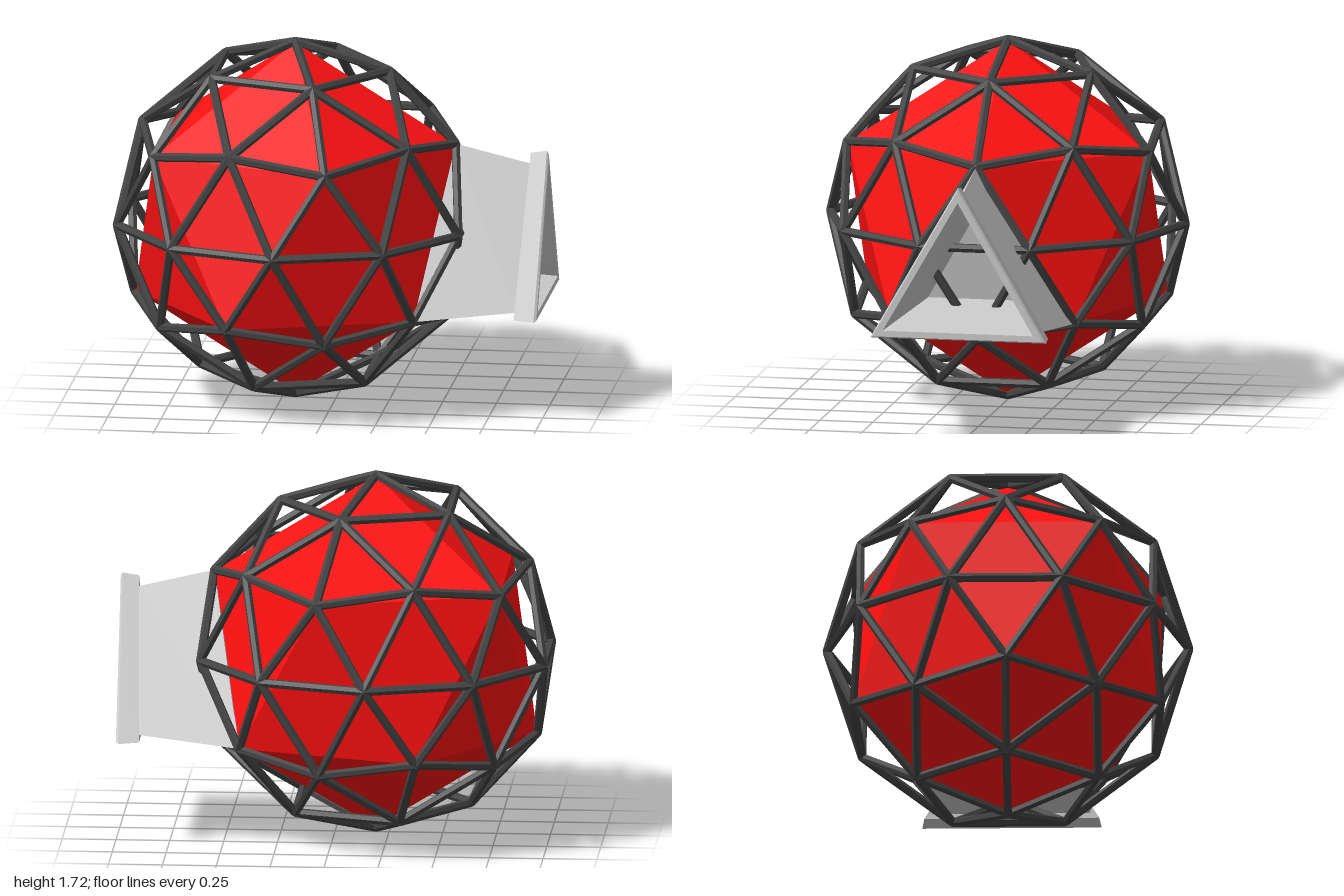
import * as THREE from 'three';
import { mergeGeometries } from 'three/addons/utils/BufferGeometryUtils.js';

const CENTER = new THREE.Vector3(-0.19, 0.858, 0);
const FRAME_R = 0.838, CORE_R = 0.835, STRUT_R = 0.021;

// Unit icosahedron standing on a vertex: pole, upper ring, lower ring, pole
function icosahedron() {
  const verts = [new THREE.Vector3(0, 1, 0)];
  const h = 1 / Math.sqrt(5), r = 2 * h;
  for (const [y, offset] of [[h, 0], [-h, Math.PI / 5]])
    for (let k = 0; k < 5; k++) {
      const a = offset + (k * Math.PI * 2) / 5;
      verts.push(new THREE.Vector3(r * Math.cos(a), y, r * Math.sin(a)));
    }
  verts.push(new THREE.Vector3(0, -1, 0));
  const faces = [];
  for (let k = 0; k < 5; k++) {
    const n = (k + 1) % 5;
    const u = 1 + k, un = 1 + n, l = 6 + k, ln = 6 + n;
    faces.push([0, un, u], [u, un, l], [l, un, ln], [11, l, ln]);
  }
  return { verts, faces };
}

function trianglesToGeometry(points) {
  const g = new THREE.BufferGeometry().setFromPoints(points);
  g.computeVertexNormals();
  return g;
}

// Six-sided bar from a to b with one ridge facing away from the centre
function strut(a, b) {
  const along = b.clone().sub(a);
  const length = along.length();
  const y = along.normalize();
  const z = a.clone().add(b).normalize();
  const x = y.clone().cross(z).normalize();
  const g = new THREE.CylinderGeometry(STRUT_R, STRUT_R, length, 6).toNonIndexed();
  const m = new THREE.Matrix4().makeBasis(x, y, z);
  m.setPosition(a.clone().add(b).multiplyScalar(0.5));
  return g.applyMatrix4(m);
}

// Geodesic cage: each icosahedron edge is halved and pushed out to the sphere
function cageGeometry({ verts, faces }) {
  const parts = [], done = new Set(), joints = new Set();
  const key = (v) => v.toArray().map((c) => Math.round(c * 1000) + 0).join();
  const add = (p, q) => {
    const id = [key(p), key(q)].sort().join('|');
    if (done.has(id)) return;
    done.add(id);
    const a = p.clone().multiplyScalar(FRAME_R), b = q.clone().multiplyScalar(FRAME_R);
    parts.push(strut(a, b));
    for (const v of [a, b]) {
      if (joints.has(key(v))) continue;
      joints.add(key(v));
      parts.push(new THREE.IcosahedronGeometry(STRUT_R, 0).translate(v.x, v.y, v.z));
    }
  };
  for (const f of faces) {
    const c = f.map((i) => verts[i]);
    const mids = c.map((v, i) => v.clone().add(c[(i + 1) % 3]).normalize());
    for (let i = 0; i < 3; i++) {
      add(c[i], mids[i]);
      add(mids[i], c[(i + 1) % 3]);
      add(mids[i], mids[(i + 1) % 3]);
    }
  }
  return mergeGeometries(parts);
}

// Triangular sections along x: [x at top corner, x at bottom edge, inradius]
function triangularLoft(sections, capEnd) {
  const cy = 0.733;
  const rings = sections.map(([xt, xb, r]) => [
    new THREE.Vector3(xt, cy + 2 * r, 0),
    new THREE.Vector3(xb, cy - r, Math.sqrt(3) * r),
    new THREE.Vector3(xb, cy - r, -Math.sqrt(3) * r),
  ]);
  const pts = [];
  for (let s = 0; s < rings.length - 1; s++)
    for (let i = 0; i < 3; i++) {
      const j = (i + 1) % 3, A = rings[s], B = rings[s + 1];
      pts.push(A[i], A[j], B[j], A[i], B[j], B[i]);
    }
  if (capEnd) pts.push(...rings[rings.length - 1]);
  return trianglesToGeometry(pts);
}

export function createModel() {
  const group = new THREE.Group();
  const material = (color) =>
    new THREE.MeshStandardMaterial({ color, flatShading: true, side: THREE.DoubleSide });
  const add = (name, geometry, mat) => {
    const mesh = new THREE.Mesh(geometry, mat);
    mesh.name = name;
    group.add(mesh);
    return mesh;
  };
  const ico = icosahedron();

  // Faceted red core
  const corePoints = ico.faces.flat().map((i) => ico.verts[i].clone().multiplyScalar(CORE_R));
  add('core', trianglesToGeometry(corePoints), material(0xff1010)).position.copy(CENTER);

  // Dark strut cage around the core
  add('cage', cageGeometry(ico), material(0x444444)).position.copy(CENTER);

  // Triangular port: tapering outer walls
  const grey = material(0xcccccc);
  add('portTube', triangularLoft([[0.56, 0.418, 0.25], [0.912, 0.888, 0.208]], false), grey);

  // Port rim, then inner walls sloping back to the recessed floor
  add('portRim', triangularLoft([
    [0.912, 0.885, 0.205],
    [0.91, 0.883, 0.234],
    [0.986, 0.978, 0.24],
    [0.995, 0.99, 0.233],
    [0.995, 0.99, 0.205],
  ], false), grey);
  add('portRecess', triangularLoft([[0.995, 0.99, 0.205], [0.535, 0.452, 0.143]], true), grey);

  return group;
}
